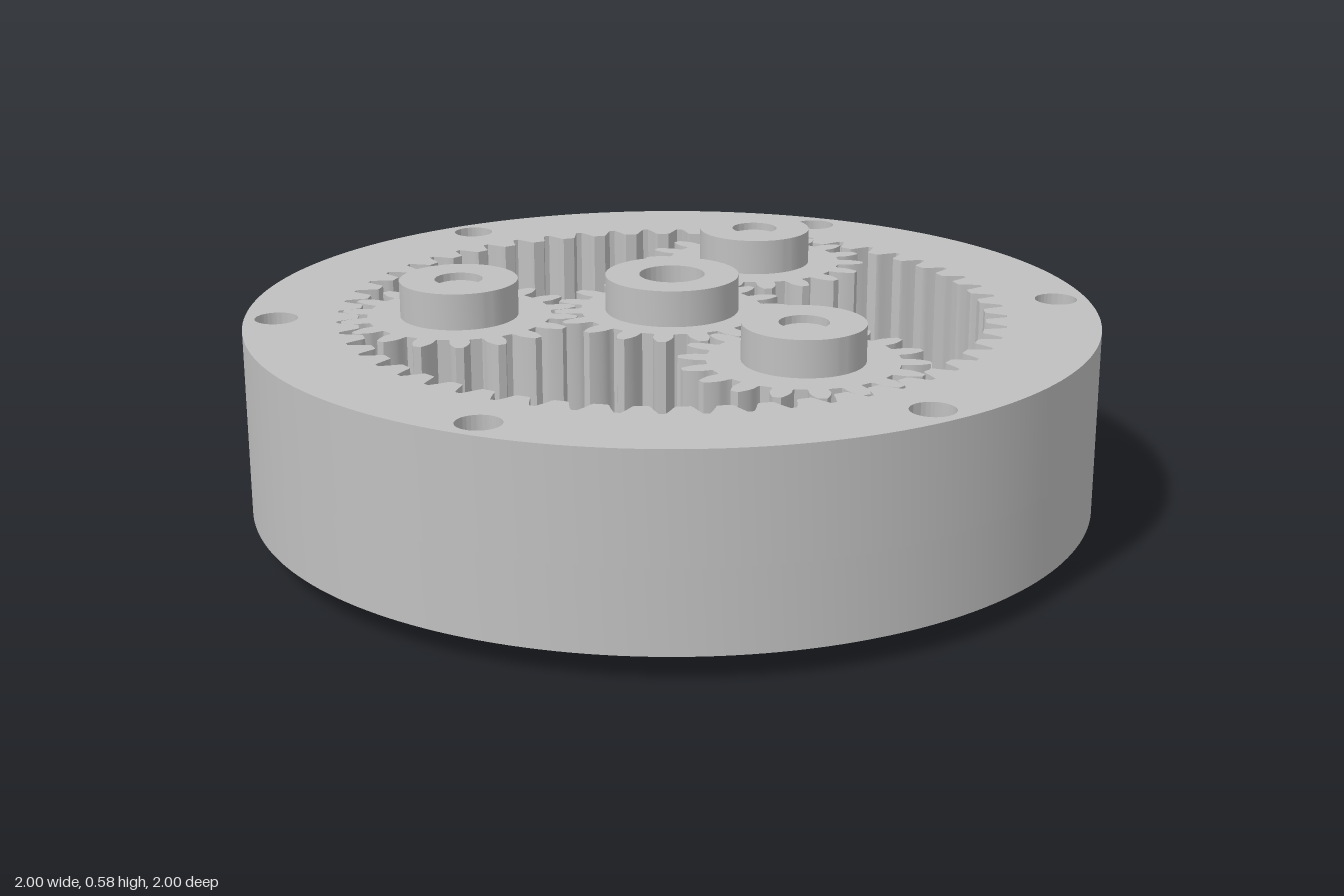
import * as THREE from 'three';
import { toCreasedNormals } from 'three/addons/utils/BufferGeometryUtils.js';

const BASE = 0.06, FLOOR = 0.25, TOP = 0.5, HUB_TOP = 0.585;

const inv = (a) => Math.tan(a) - a;

// Closed involute outline: teeth centred on `phase` plus multiples of the pitch
function gearPoints(teeth, pitchR, rootR, tipR, phase) {
  const pressure = THREE.MathUtils.degToRad(20);
  const baseR = pitchR * Math.cos(pressure);
  const half = (r) => Math.PI / (2 * teeth) * 0.97 + inv(pressure)
    - inv(Math.acos(Math.min(1, baseR / r)));
  const flank = [[rootR, half(rootR) + 0.012 * (0.25 / pitchR)]];
  const start = rootR + (tipR - rootR) * 0.12;
  for (let i = 0; i <= 6; i++) {
    const r = start + (tipR - start) * i / 6;
    flank.push([r, half(r)]);
  }
  const pts = [];
  const add = (r, a) => pts.push(new THREE.Vector2(r * Math.cos(a), r * Math.sin(a)));
  for (let t = 0; t < teeth; t++) {
    const a = phase + t * 2 * Math.PI / teeth;
    flank.forEach(([r, h]) => add(r, a - h));
    [...flank].reverse().forEach(([r, h]) => add(r, a + h));
  }
  return pts;
}

function circle(r, x = 0, y = 0, Kind = THREE.Path) {
  const p = new Kind();
  p.absarc(x, y, r, 0, Math.PI * 2, false);
  return p;
}

// Upright prism between two heights
function prism(name, shape, y0, y1, material, segments = 48) {
  const geo = new THREE.ExtrudeGeometry(shape, {
    depth: y1 - y0, bevelEnabled: false, curveSegments: segments,
  });
  geo.rotateX(-Math.PI / 2);
  geo.translate(0, y0, 0);
  const mesh = new THREE.Mesh(toCreasedNormals(geo, 0.5), material);
  mesh.name = name;
  return mesh;
}

function disc(r, holes) {
  const s = circle(r, 0, 0, THREE.Shape);
  s.holes.push(...holes);
  return s;
}

// Spur gear with a raised hub and a bore through both
function spurGear(name, hubR, boreR, phase, material) {
  const g = new THREE.Group();
  g.name = name;
  const teeth = new THREE.Shape(gearPoints(18, 0.25, 0.215, 0.277, phase));
  teeth.holes.push(circle(boreR));
  g.add(prism('gearTeeth', teeth, FLOOR, TOP, material));
  g.add(prism('gearHub', disc(hubR, [circle(boreR)]), TOP, HUB_TOP, material));
  return g;
}

export function createModel() {
  const model = new THREE.Group();
  model.name = 'planetaryGearbox';
  const steel = new THREE.MeshStandardMaterial({ color: 0xc0c0c0 });
  steel.name = 'grey steel';

  // Housing: floor plate, toothed ring and bottom boss
  const screwHoles = () => Array.from({ length: 6 }, (_, i) => {
    const a = i * Math.PI / 3;
    return circle(0.05, 0.925 * Math.cos(a), 0.925 * Math.sin(a));
  });
  const sunBore = 0.077;
  model.add(prism('housingFloor', disc(1, [circle(sunBore), ...screwHoles()]), BASE, FLOOR, steel, 96));
  const ringGap = new THREE.Path(gearPoints(54, 0.75, 0.736, 0.785, Math.PI / 54));
  model.add(prism('ringGear', disc(1, [ringGap, ...screwHoles()]), FLOOR, TOP, steel, 96));
  model.add(prism('bottomBoss', disc(0.185, [circle(sunBore)]), 0, BASE, steel));

  // Central gear
  model.add(spurGear('sunGear', 0.157, sunBore, 0, steel));

  // Three planets, each on a pin slightly recessed in its hub
  for (let i = 0; i < 3; i++) {
    const a = i * 2 * Math.PI / 3;
    const planet = spurGear('planetGear', 0.138, 0.056, Math.PI / 18, steel);
    planet.add(prism('planetPin', circle(0.055, 0, 0, THREE.Shape), FLOOR, 0.567, steel));
    planet.position.set(0.5 * Math.cos(a), 0, 0.5 * Math.sin(a));
    model.add(planet);
  }
  return model;
}
